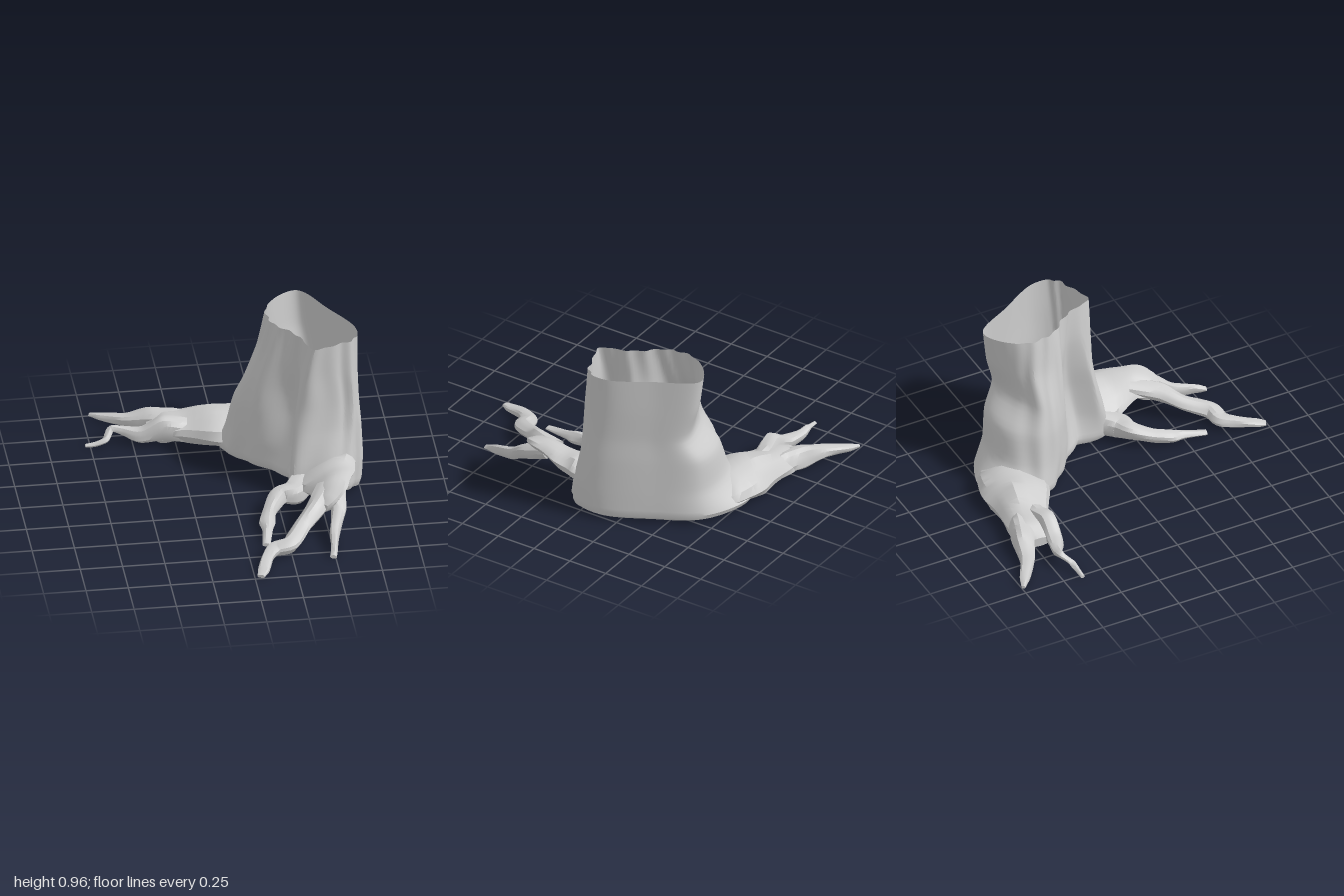
import * as THREE from 'three';
import { toCreasedNormals } from 'three/addons/utils/BufferGeometryUtils.js';

const material = new THREE.MeshStandardMaterial({ color: 0xcccccc, side: THREE.DoubleSide });

// Skin a list of closed rings with quads
function loft(name, rings) {
  const n = rings[0].length, index = [];
  for (let i = 0; i < rings.length - 1; i++) {
    for (let j = 0; j < n; j++) {
      const a = i * n + j, b = i * n + (j + 1) % n, c = a + n, d = b + n;
      index.push(a, b, c, b, d, c);
    }
  }
  const geometry = new THREE.BufferGeometry().setFromPoints(rings.flat());
  geometry.setIndex(index);
  const mesh = new THREE.Mesh(toCreasedNormals(geometry, 0.55), material);
  mesh.name = name;
  return mesh;
}

const collapsed = (ring, centre) => ring.map(() => centre.clone());

// Hollow trunk: outlines [x, z] from the rim down, starting at the back corner
const levels = [
  { y: 0.965, p: [[.47, -.65], [.62, -.42], [.75, -.18], [.74, -.06], [.64, 0], [.47, .04], [.41, -.12], [.29, -.27], [.25, -.42], [.33, -.58]] },
  { y: 0.75, p: [[.485, -.62], [.62, -.42], [.75, -.17], [.73, -.03], [.62, .01], [.42, .03], [.40, -.13], [.24, -.27], [.21, -.43], [.33, -.56]] },
  { y: 0.55, p: [[.52, -.565], [.63, -.40], [.755, -.15], [.74, -.02], [.63, .02], [.38, .03], [.41, -.14], [.18, -.28], [.125, -.42], [.33, -.54]] },
  { y: 0.40, p: [[.475, -.64], [.63, -.42], [.765, -.14], [.75, 0], [.63, .04], [.36, .05], [.41, -.13], [.14, -.29], [.07, -.45], [.22, -.62]] },
  { y: 0.20, p: [[.47, -.655], [.64, -.42], [.775, -.12], [.75, .04], [.62, .10], [.34, .08], [.38, -.10], [.11, -.31], [.03, -.49], [.17, -.66]] },
  { y: 0.06, p: [[.46, -.71], [.64, -.43], [.775, -.12], [.73, .07], [.62, .12], [.34, .09], [.33, -.10], [.09, -.34], [-.02, -.51], [.12, -.80]] },
];

function makeTrunk() {
  const around = 110, down = 26;
  const columns = levels[0].p.map((_, k) =>
    new THREE.CatmullRomCurve3(levels.map(l => new THREE.Vector3(l.p[k][0], l.y, l.p[k][1])), false, 'catmullrom', 0.35));
  const rings = [];
  for (let i = 0; i <= down; i++) {
    const outline = new THREE.CatmullRomCurve3(columns.map(c => c.getPoint(i / down)), true, 'centripetal');
    const ring = [];
    for (let j = 0; j < around; j++) {
      const u = j / around, v = outline.getPoint(u);
      // Bark furrows on the outer side; the back and flat side stay smooth
      const fade = THREE.MathUtils.smoothstep(u, 0.24, 0.32) * (1 - THREE.MathUtils.smoothstep(u, 0.82, 0.9));
      const wave = Math.sin(u * 95 + 1.2 * Math.sin(v.y * 7 + u * 9)) + 0.6 * Math.sin(u * 53 - v.y * 5);
      const out = new THREE.Vector3(v.x - 0.48, 0, v.z + 0.3).normalize();
      ring.push(v.addScaledVector(out, 0.007 * fade * (wave - 0.2)));
    }
    rings.push(ring);
  }
  // Rounded lower edge and flat floor
  const centre = new THREE.Vector3(0.47, 0.015, -0.25);
  const last = rings[down];
  const inset = (s, y) => last.map(v => v.clone().lerp(centre, s).setY(y));
  rings.push(inset(0.03, 0.03), inset(0.1, 0.015), collapsed(last, centre));
  return loft('trunk', rings);
}

// Root: stations [x, y, z, half width, half height], resting on the ground;
// lean raises the left flank and lowers the right one
function makeRoot(name, { stations, lean = 0 }, seed) {
  const sides = 14, steps = (stations.length - 1) * 5;
  const path = new THREE.CatmullRomCurve3(stations.map(s => new THREE.Vector3(s[0], s[1], s[2])), false, 'catmullrom', 0.4);
  const sizes = new THREE.CatmullRomCurve3(stations.map(s => new THREE.Vector3(s[3], s[4], 0)), false, 'catmullrom', 0.3);
  const up = new THREE.Vector3(0, 1, 0), rings = [];
  for (let i = 0; i <= steps; i++) {
    const t = i / steps, c = path.getPoint(t), size = sizes.getPoint(t);
    const side = path.getTangent(t).setY(0).normalize().cross(up);
    const ring = [];
    for (let j = 0; j < sides; j++) {
      const a = -j / sides * Math.PI * 2;
      const knot = 1 + 0.07 * Math.sin(a * 4 + seed + t * 5) + 0.04 * Math.sin(t * 23 + a * 2 + seed);
      const across = Math.cos(a) * size.x * knot;
      const v = c.clone()
        .addScaledVector(side, across)
        .addScaledVector(up, Math.sin(a) * size.y * knot - lean * across);
      v.y = Math.max(v.y, 0.002);
      ring.push(v);
    }
    rings.push(ring);
  }
  rings.unshift(collapsed(rings[0], path.getPoint(0)));
  rings.push(collapsed(rings[0], path.getPoint(1)));
  return loft(name, rings);
}

const roots = {
  // Broad root sweeping back and to the right, with its two forks
  backRoot: { stations: [[.32, .05, -.59, .10, .04], [.2, .08, -.63, .18, .10], [0, .08, -.66, .18, .12], [-.2, .07, -.71, .13, .08],
    [-.32, .06, -.72, .13, .07], [-.41, .05, -.73, .06, .03]] },
  backRootOuterFork: { stations: [[-.1, .05, -.73, .06, .05], [-.24, .07, -.77, .07, .07], [-.38, .06, -.82, .065, .07], [-.52, .04, -.87, .045, .035],
    [-.64, .022, -.95, .03, .022], [-.71, .015, -.995, .012, .01]] },
  backRootInnerFork: { stations: [[-.1, .06, -.64, .05, .06], [-.22, .08, -.65, .06, .075], [-.33, .10, -.64, .055, .08], [-.45, .06, -.65, .05, .045],
    [-.55, .07, -.69, .03, .03], [-.62, .085, -.695, .022, .02], [-.66, .04, -.65, .02, .02], [-.72, .02, -.64, .016, .015], [-.78, .015, -.64, .012, .01]] },
  // Undercut front root and its two forks
  frontRoot: { lean: 0.4, stations: [[.55, .12, -.02, .13, .08], [.54, .15, .09, .18, .09], [.54, .17, .22, .14, .07], [.53, .2, .37, .10, .055],
    [.49, .17, .46, .08, .05], [.46, .15, .5, .04, .03]] },
  frontRootLongFork: { stations: [[.51, .19, .34, .06, .05], [.42, .15, .5, .06, .055], [.33, .10, .6, .05, .045], [.24, .06, .73, .055, .045],
    [.15, .05, .75, .05, .035], [.10, .04, .82, .038, .03], [.06, .02, .93, .035, .02], [.035, .012, .99, .024, .01]] },
  frontRootShortFork: { stations: [[.57, .2, .34, .05, .05], [.56, .14, .5, .045, .05], [.52, .06, .63, .03, .04], [.5, .03, .76, .02, .03], [.485, .015, .83, .02, .012]] },
  // Small side root bending forward
  sideRoot: { stations: [[.43, .10, .04, .07, .08], [.34, .08, .17, .07, .07], [.25, .09, .21, .055, .05], [.18, .06, .32, .04, .04],
    [.15, .04, .42, .045, .04], [.14, .03, .5, .03, .025], [.115, .015, .64, .022, .012]] },
};

export function createModel() {
  const group = new THREE.Group();
  group.name = 'treeStump';
  group.add(makeTrunk());
  Object.entries(roots).forEach(([name, root], k) => group.add(makeRoot(name, root, k * 1.7)));
  return group;
}
